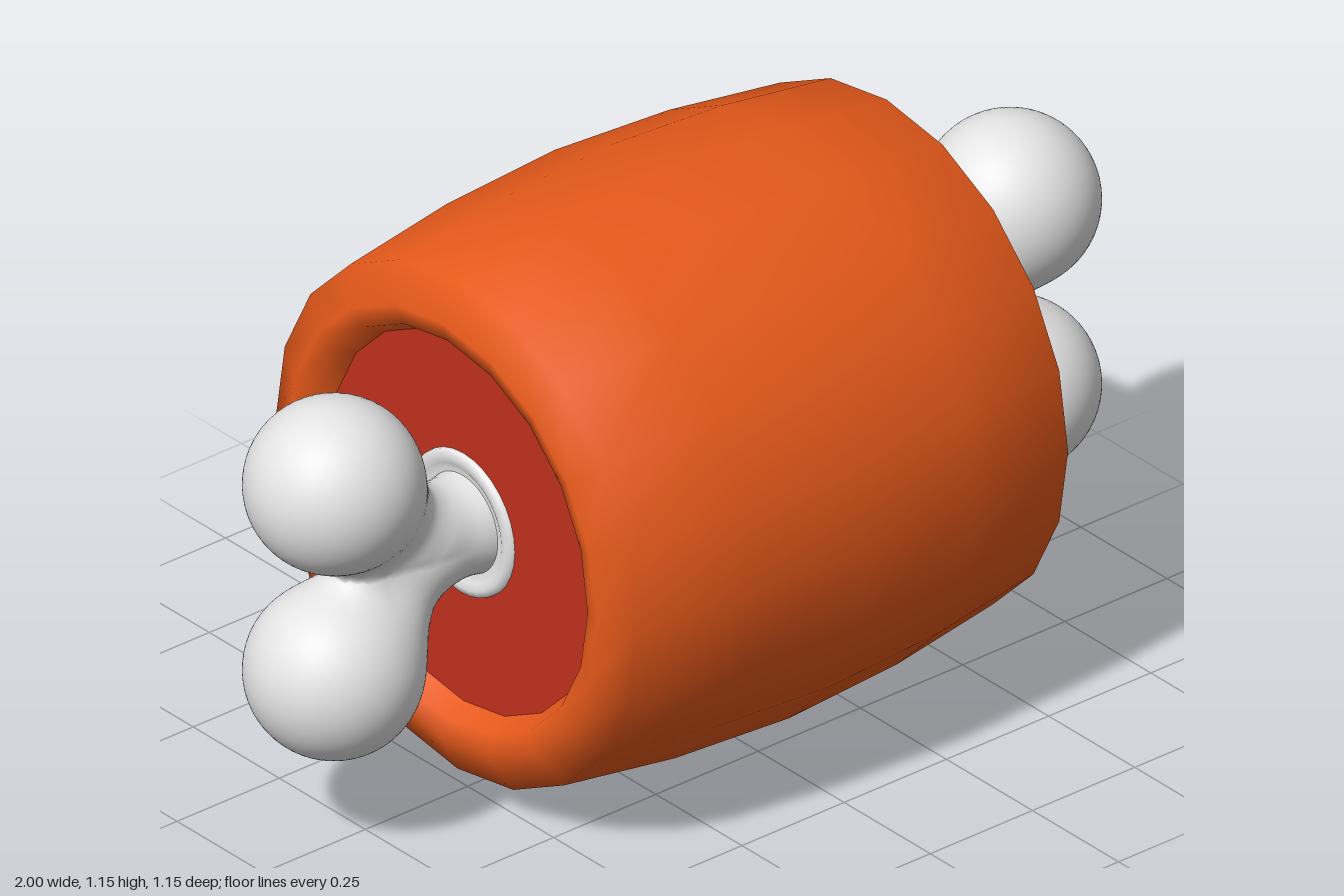
import * as THREE from 'three';

const AXIS_Y = 0.577;
const BALL = { x: 0.827, y: 0.2, r: 0.172 };

// Distance to a tapered rod between two points in the xy plane
function rod(x, y, z, ax, ay, bx, by, ra, rb) {
  const dx = bx - ax, dy = by - ay;
  const t = THREE.MathUtils.clamp(((x - ax) * dx + (y - ay) * dy) / (dx * dx + dy * dy), 0, 1);
  return Math.hypot(x - ax - t * dx, y - ay - t * dy, z) - THREE.MathUtils.lerp(ra, rb, t);
}

// Rounded union of two distances
function blend(a, b, k) {
  const h = Math.max(k - Math.abs(a - b), 0) / k;
  return Math.min(a, b) - h * h * k / 4;
}

// Bone end: shaft that forks into two round knuckles
function boneDistance(x, y, z) {
  const ay = Math.abs(y);
  const shaft = rod(x, ay, z, 0.45, 0, 0.75, 0, 0.113, 0.06);
  const arm = rod(x, ay, z, 0.63, 0.03, BALL.x, BALL.y, 0.078, 0.105);
  const ball = Math.hypot(x - BALL.x, ay - BALL.y, z) - BALL.r;
  return blend(blend(shaft, arm, 0.05), ball, 0.07);
}

function gradient(p) {
  const e = 0.004, f = boneDistance;
  return new THREE.Vector3(
    f(p.x + e, p.y, p.z) - f(p.x - e, p.y, p.z),
    f(p.x, p.y + e, p.z) - f(p.x, p.y - e, p.z),
    f(p.x, p.y, p.z + e) - f(p.x, p.y, p.z - e)).normalize();
}

// Wraps the blended bone shape in a smooth skin of quads
function boneGeometry() {
  const step = 0.016, n = [36, 52, 26];
  const origin = [0.46, -26 * step, -13 * step];
  const at = (i, j, k) => new THREE.Vector3(origin[0] + i * step, origin[1] + j * step, origin[2] + k * step);
  const key = (i, j, k) => (i * n[1] + j) * n[2] + k;
  const inside = (i, j, k) => {
    const p = at(i, j, k);
    return boneDistance(p.x, p.y, p.z) < 0;
  };
  const cells = new Map(), positions = [], normals = [], index = [];

  // One point per cell that the surface crosses
  for (let i = 0; i < n[0]; i++) for (let j = 0; j < n[1]; j++) for (let k = 0; k < n[2]; k++) {
    let count = 0;
    for (let c = 0; c < 8; c++) if (inside(i + (c & 1), j + (c >> 1 & 1), k + (c >> 2))) count++;
    if (count === 0 || count === 8) continue;
    const p = at(i + 0.5, j + 0.5, k + 0.5);
    for (let s = 0; s < 3; s++) p.addScaledVector(gradient(p), -boneDistance(p.x, p.y, p.z));
    cells.set(key(i, j, k), positions.length / 3);
    positions.push(p.x, p.y, p.z);
    normals.push(...gradient(p).toArray());
  }

  // One quad around each grid edge that the surface crosses
  const ring = [[-1, -1], [0, -1], [0, 0], [-1, 0]];
  for (let i = 1; i < n[0]; i++) for (let j = 1; j < n[1]; j++) for (let k = 1; k < n[2]; k++) {
    const here = inside(i, j, k);
    for (let a = 0; a < 3; a++) {
      const next = [i, j, k];
      next[a]++;
      if (inside(...next) === here) continue;
      const q = ring.map(([u, v]) => {
        const cell = [i, j, k];
        cell[(a + 1) % 3] += u;
        cell[(a + 2) % 3] += v;
        return cells.get(key(...cell));
      });
      if (q.includes(undefined)) continue;
      if (!here) q.reverse();
      index.push(q[0], q[1], q[2], q[0], q[2], q[3]);
    }
  }

  const g = new THREE.BufferGeometry();
  g.setAttribute('position', new THREE.Float32BufferAttribute(positions, 3));
  g.setAttribute('normal', new THREE.Float32BufferAttribute(normals, 3));
  g.setIndex(index);
  return g;
}

// Profile of [x, radius] spun around the x axis
function spin(profile, sides) {
  const g = new THREE.LatheGeometry(profile.map(([x, r]) => new THREE.Vector2(r, x)), sides);
  return g.rotateZ(-Math.PI / 2);
}

export function createModel() {
  const material = (name, color) => {
    const m = new THREE.MeshStandardMaterial({ color });
    m.name = name;
    return m;
  };
  const crust = material('roasted orange', 0xe85a1b);
  const flesh = material('meat red', 0xbe301d);
  const bone = material('bone white', 0xe4e4e4);

  const model = new THREE.Group();
  model.name = 'meatOnBone';
  const add = (parent, name, geometry, mat) => {
    const mesh = new THREE.Mesh(geometry, mat);
    mesh.name = name;
    parent.add(mesh);
  };

  // Barrel-shaped crust with rims that turn inward
  const half = [[0.27, 0.561], [0.525, 0.527], [0.563, 0.45], [0.55, 0.408], [0.508, 0.385]];
  const mirrored = half.map(([x, r]) => [-x, r]).reverse();
  const body = new THREE.Group();
  body.name = 'body';
  body.position.y = AXIS_Y;
  model.add(body);
  add(body, 'crust', spin([...mirrored, [0, 0.575], ...half], 20), crust);

  // Each end: cut face, marrow collar and forked bone
  const cut = new THREE.CircleGeometry(0.388, 20).rotateZ(Math.PI / 2).rotateY(Math.PI / 2).translate(0.51, 0, 0);
  const collar = spin([[0.505, 0.15], [0.518, 0.148], [0.522, 0.135], [0.518, 0.12], [0.512, 0.11], [0.512, 0.08]], 32);
  const fork = boneGeometry();
  for (const [side, turn] of [['left', 0], ['right', Math.PI]]) {
    const end = new THREE.Group();
    end.name = side + 'End';
    end.rotation.y = turn;
    body.add(end);
    add(end, side + 'CutFace', cut, flesh);
    add(end, side + 'Collar', collar, bone);
    add(end, side + 'Bone', fork, bone);
  }
  return model;
}
